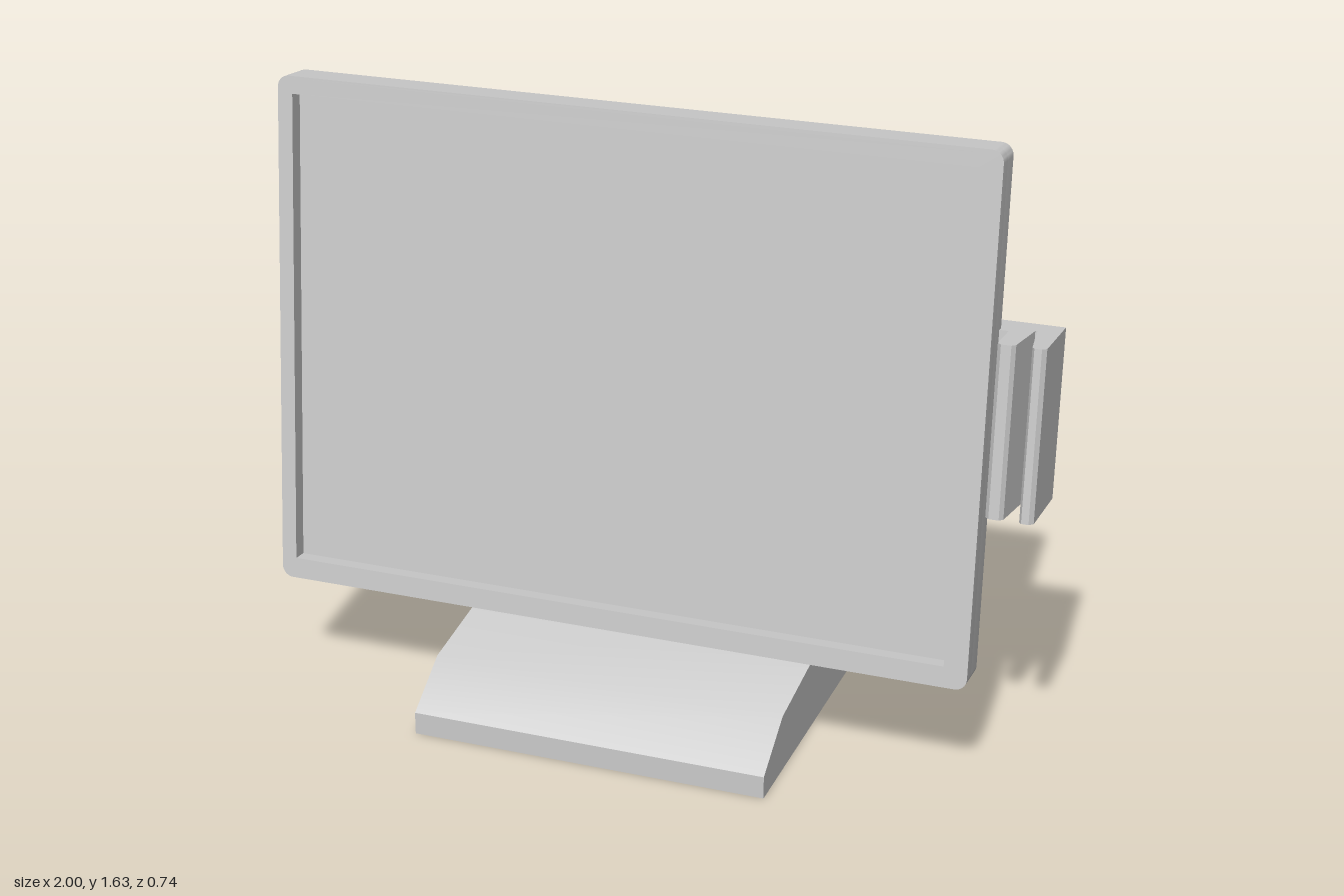
import * as THREE from 'three';
import { toCreasedNormals } from 'three/addons/utils/BufferGeometryUtils.js';

const material = new THREE.MeshStandardMaterial({ color: 0xcccccc });

function addMesh(parent, name, geometry, crease = 0.5) {
  const mesh = new THREE.Mesh(toCreasedNormals(geometry, crease), material);
  mesh.name = name;
  parent.add(mesh);
  return mesh;
}

const polygon = (points) => new THREE.Shape(points.map(([x, y]) => new THREE.Vector2(x, y)));

const extrude = (shape, depth) =>
  new THREE.ExtrudeGeometry(shape, { depth, bevelEnabled: false, curveSegments: 4 });

function roundedRect(x0, y0, x1, y1, r) {
  const s = new THREE.Shape();
  s.absarc(x1 - r, y0 + r, r, -Math.PI / 2, 0);
  s.absarc(x1 - r, y1 - r, r, 0, Math.PI / 2);
  s.absarc(x0 + r, y1 - r, r, Math.PI / 2, Math.PI);
  s.absarc(x0 + r, y0 + r, r, Math.PI, Math.PI * 1.5);
  s.closePath();
  return s;
}

export function createModel() {
  const model = new THREE.Group();
  model.name = 'pointOfSaleTerminal';

  // Curved stand: side profile as [z, y], swept across the width
  const profile = [
    [0.37, 0], [0.37, 0.06], [0.225, 0.155], [-0.145, 0.21], [-0.155, 0.355],
    [-0.04, 0.6], [-0.02, 0.69], [0.053, 0.745], [0.033, 0.965],
    [-0.04, 0.93], [-0.135, 0.88], [-0.245, 0.69], [-0.355, 0.45], [-0.37, 0.2], [-0.37, 0],
  ];
  const standGeometry = extrude(polygon(profile.map(([z, y]) => [-z, y])), 0.945);
  standGeometry.rotateY(Math.PI / 2);
  standGeometry.translate(-0.54, 0, 0);
  addMesh(model, 'stand', standGeometry, 0.45);

  // Everything on the display leans back slightly
  const display = new THREE.Group();
  display.name = 'display';
  display.position.set(0, 0.956, 0.08);
  display.rotation.x = -0.093;
  model.add(display);

  // Screen housing and raised bezel around the recessed glass
  const outline = () => roundedRect(-1, -0.67, 0.86, 0.67, 0.03);
  addMesh(display, 'screenHousing', extrude(outline(), 0.056)).position.z = -0.048;
  const frame = outline();
  frame.holes.push(polygon([[-0.96, -0.615], [-0.96, 0.625], [0.8, 0.625], [0.8, -0.615]]));
  addMesh(display, 'bezel', extrude(frame, 0.04)).position.z = 0.008;

  // Card reader on the side, with a tapering swipe slot
  const reader = new THREE.Group();
  reader.name = 'cardReader';
  reader.position.y = 0.01;
  display.add(reader);

  // Horizontal section as [x, z], swept up the height
  const section = [
    [0.86, -0.123], [1, -0.123], [1, 0.08], [0.99, 0.091], [0.972, 0.091], [0.965, 0.08],
    [0.945, -0.06], [0.94, -0.06],
    [0.927, 0.08], [0.918, 0.091], [0.893, 0.091], [0.883, 0.08], [0.883, -0.03], [0.86, -0.03],
  ];
  const bodyGeometry = extrude(polygon(section.map(([x, z]) => [x, -z])), 0.43);
  bodyGeometry.rotateX(-Math.PI / 2);
  bodyGeometry.translate(0, -0.215, 0);
  addMesh(reader, 'readerBody', bodyGeometry, 0.3);

  // Tapered mounting plate reaching behind the screen
  const plate = polygon([
    [0.495, -0.15], [0.8, -0.215], [0.86, -0.215], [0.86, 0.215], [0.8, 0.215], [0.495, 0.15],
  ]);
  addMesh(reader, 'mountingPlate', extrude(plate, 0.076), 0.15).position.z = -0.123;

  return model;
}
